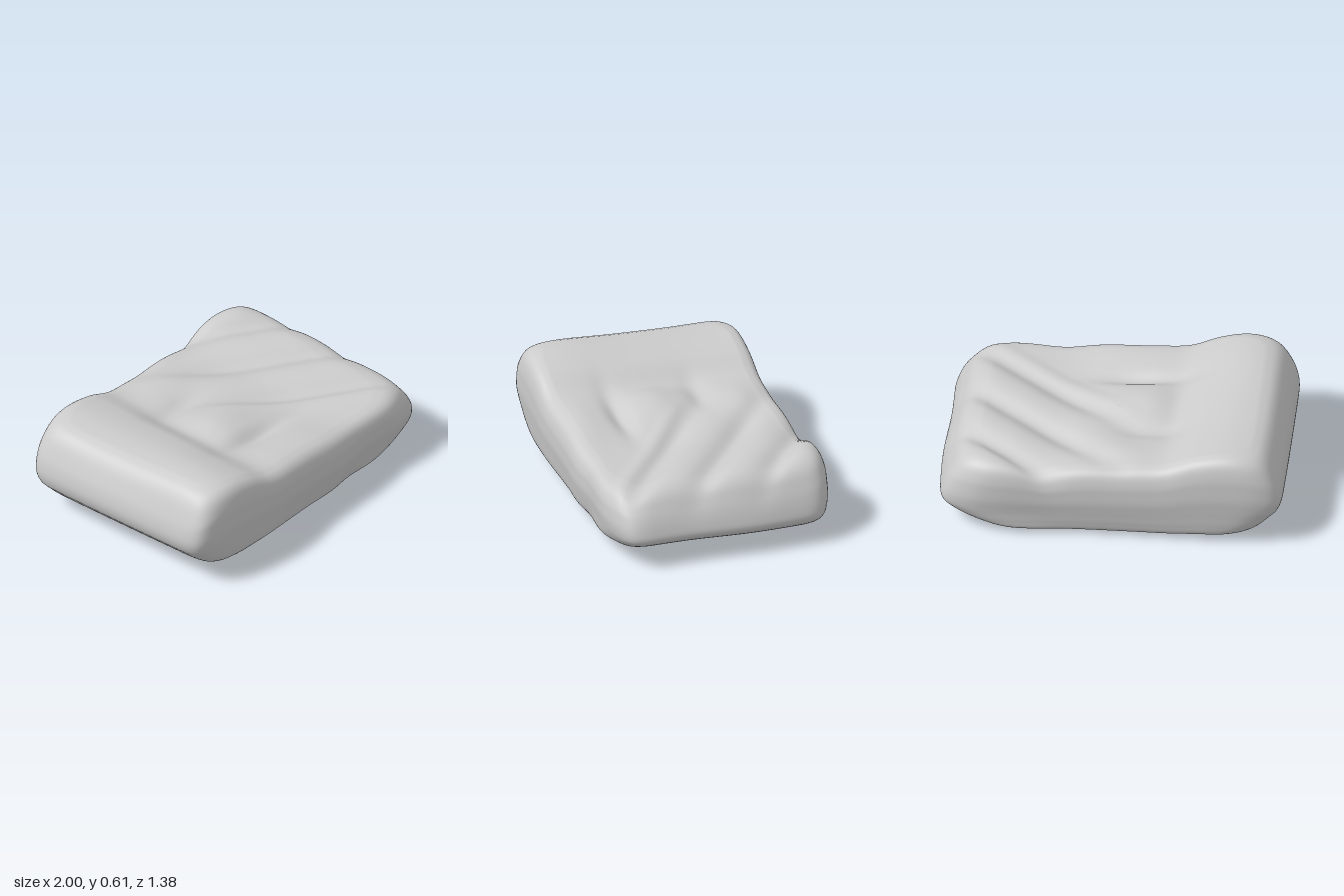
import * as THREE from 'three';

const gauss = (x, z, cx, cz, rx, rz) => Math.exp(-(((x - cx) / rx) ** 2) - ((z - cz) / rz) ** 2);
const { smoothstep: smooth, lerp } = THREE.MathUtils;

// smooth interpolation through [x, value] pairs
function table(pairs, x) {
  if (x <= pairs[0][0]) return pairs[0][1];
  for (let i = 1; i < pairs.length; i++) {
    const [x0, y0] = pairs[i - 1], [x1, y1] = pairs[i];
    if (x <= x1) {
      const d = k => {
        const a = pairs[Math.max(k - 1, 0)], b = pairs[Math.min(k + 1, pairs.length - 1)];
        return (b[1] - a[1]) / (b[0] - a[0]) * (x1 - x0);
      };
      const t = (x - x0) / (x1 - x0), t2 = t * t, t3 = t2 * t;
      return (2 * t3 - 3 * t2 + 1) * y0 + (t3 - 2 * t2 + t) * d(i - 1)
        + (3 * t2 - 2 * t3) * y1 + (t3 - t2) * d(i);
    }
  }
  return pairs[pairs.length - 1][1];
}

// height along the length, high at the -x end
const LENGTH = [[-1, .53], [-.85, .58], [-.68, .593], [-.5, .555], [-.33, .485], [-.15, .462],
  [.1, .443], [.33, .425], [.6, .438], [.8, .443], [1, .41]];
// outline in plan, by x and by z
const BACK = [[-1, .605], [-.8, .63], [-.2, .635], [.3, .655], [.75, .69], [1, .635]];
const FRONT = [[-1, .67], [-.7, .685], [0, .665], [.25, .665], [.45, .645], [.75, .645], [1, .585]];
const LEFT = [[-.6, .955], [-.2, .985], [.2, .985], [.5, 1]];
const RIGHT = [[-.5, 1], [0, .985], [.6, .96]];

// diagonal folds and soft lumps of the top
function folds(x, z) {
  const d = z - .69 * x;
  const phase = (d + .5) / .4 * Math.PI * 2;
  const mask = smooth(x, -.25, .3) * smooth(d, -1.15, -.9) * (1 - smooth(d, -.06, .1))
    * (1 - .5 * smooth(x, .7, .92));
  let y = -.022 * mask * Math.cos(phase + .35 * Math.sin(phase));
  y += .04 * gauss(x, z, -.12, .08, .22, .17);
  y += .02 * gauss(x, z, -.05, -.42, .2, .12);
  y -= .04 * gauss(x, z, -.08, .3, .24, .06);
  y -= .025 * gauss(x, z, -.2, -.2, .16, .07);
  y -= .02 * gauss(x, z, -.34, 0, .09, .3);
  y += .02 * gauss(x, z, -.1, .52, .25, .12);
  y += .015 * gauss(x, z, .2, .58, .25, .15);
  y -= .02 * gauss(x, z, .28, -.6, .2, .15);
  y += .02 * gauss(x, z, -.7, .45, .3, .25);
  y -= .015 * gauss(x, z, -.7, -.3, .3, .35);
  y -= .015 * z * smooth(x, 0, .6);
  return y + .025 * gauss(x, z, .75, -.6, .18, .12);
}

// side profile from the rim of the opening, outwards and up to the top:
// insets from the outline at +x, -x and both z sides, then share of the height
const PROFILE = [
  [.38, .36, .21, .06], [.32, .28, .12, .07], [.22, .19, .045, .12], [.1, .11, .025, .22],
  [.02, .05, .015, .34], [0, .015, .008, .43], [.01, 0, 0, .55], [.032, .01, 0, .68],
  [.06, .035, .003, .79], [.1, .075, .02, .91], [.15, .12, .05, .975], [.22, .18, .095, 1],
];

function createCushionGeometry() {
  const SEG = 280, SIDE = 44, TOP = 60;
  const columns = [0, 1, 2, 3].map(c => PROFILE.map((p, n) => [n, p[c]]));
  const pos = [], idx = [];
  for (let i = 0; i <= SIDE + TOP; i++) {
    const k = Math.min(i / SIDE, 1) * (PROFILE.length - 1);
    const [inR, inL, inZ, f] = columns.map(column => table(column, k));
    const shrink = i <= SIDE ? 1 : 1 - (i - SIDE) / TOP;
    const power = i < SIDE * .25 ? lerp(3.6, 16, i / (SIDE * .25))
      : lerp(16, 12, Math.min(1, Math.max(0, i / SIDE - .7) / .3));
    // the opening is skewed: further to -x at the front
    const skew = 1 - smooth(k, 0, 2);
    for (let j = 0; j < SEG; j++) {
      // rounded rectangle ring
      const a = j / SEG * Math.PI * 2, c = Math.cos(a), s = Math.sin(a);
      const r = (Math.abs(c) ** power + Math.abs(s) ** power) ** (-1 / power);
      const u = c * r, v = s * r;
      const hx = u > 0 ? table(LEFT, v * .65) - inR : table(RIGHT, v * .65) - inL;
      const hz = table(v > 0 ? FRONT : BACK, u) - inZ;
      const x = u * hx * shrink - skew * (.12 * v + .04), z = v * hz * shrink;
      const h = table(LENGTH, x) + folds(x, z) * smooth(f, .4, 1);
      const sag = .015 * (1 - smooth(f, .06, .2)) * gauss(x, 0, -.1, 0, .5, 1) * smooth(-z, -.1, .4);
      pos.push(x, f * h + (1 - f) * .03 * z - sag, z);
    }
  }
  for (let i = 0; i < SIDE + TOP; i++) for (let j = 0; j < SEG; j++) {
    const n = (j + 1) % SEG, a = i * SEG + j, b = a + SEG, c = i * SEG + n, d = c + SEG;
    idx.push(a, b, c);
    if (i < SIDE + TOP - 1) idx.push(c, b, d);
  }
  const geo = new THREE.BufferGeometry();
  geo.setAttribute('position', new THREE.Float32BufferAttribute(pos, 3));
  geo.setIndex(idx);
  geo.computeVertexNormals();
  // the pole keeps one shared upward normal
  const nrm = geo.attributes.normal;
  for (let j = 0; j < SEG; j++) nrm.setXYZ((SIDE + TOP) * SEG + j, 0, 1, 0);
  geo.computeBoundingBox();
  const { min, max } = geo.boundingBox;
  geo.translate(-(min.x + max.x) / 2, -min.y, -(min.z + max.z) / 2);
  return geo;
}

export function createModel() {
  const group = new THREE.Group();
  group.name = 'cushion';
  // hollow shell, open underneath
  const shell = new THREE.Mesh(createCushionGeometry(),
    new THREE.MeshStandardMaterial({ color: 0xcccccc, side: THREE.DoubleSide }));
  shell.name = 'cushionShell';
  group.add(shell);
  return group;
}
